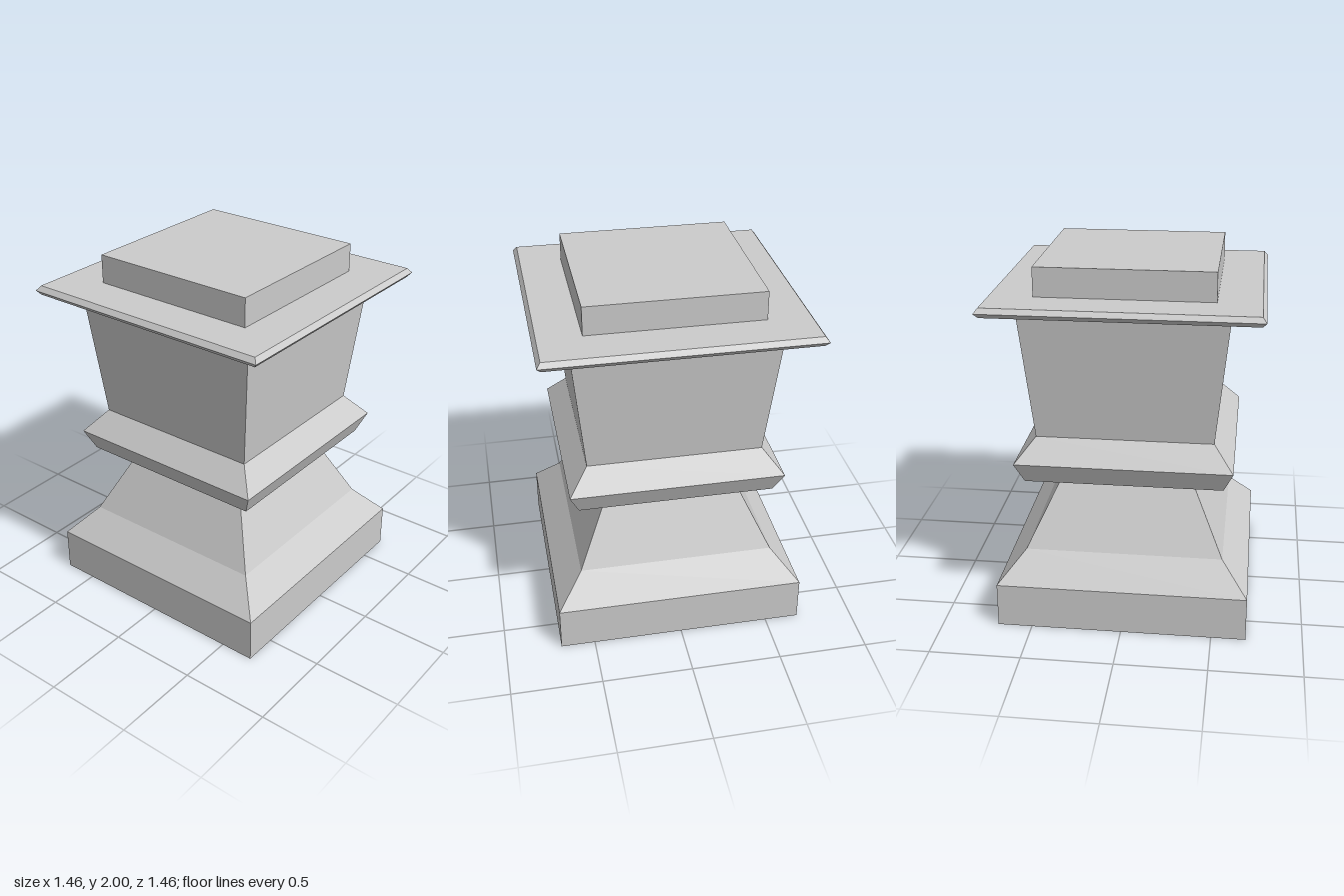
import * as THREE from 'three';

const material = new THREE.MeshStandardMaterial({ color: 0xcccccc, flatShading: true });

// Square section swept up a profile of [half width, height] points
function squareSection(name, profile) {
  const points = profile.map(([half, y]) => new THREE.Vector2(half * Math.SQRT2, y));
  const geometry = new THREE.LatheGeometry(points, 4, Math.PI / 4).toNonIndexed();
  geometry.computeVertexNormals();
  const mesh = new THREE.Mesh(geometry, material);
  mesh.name = name;
  return mesh;
}

export function createModel() {
  const group = new THREE.Group();
  group.name = 'pedestal';
  group.add(
    // Plinth with closed underside
    squareSection('plinth', [[0, 0], [0.69, 0], [0.69, 0.248]]),
    // Foot sloping in two steps to the narrow neck
    squareSection('foot', [[0.69, 0.248], [0.545, 0.41], [0.355, 0.803]]),
    // Flared collar above the neck
    squareSection('collar', [[0.355, 0.803], [0.54, 0.825], [0.59, 0.94], [0.482, 1.067]]),
    // Body widening upwards
    squareSection('body', [[0.482, 1.067], [0.555, 1.79]]),
    // Thin overhanging slab with bevelled rim
    squareSection('capSlab', [[0.555, 1.79], [0.707, 1.79], [0.728, 1.815], [0.707, 1.842], [0.475, 1.842]]),
    // Raised block on top
    squareSection('topBlock', [[0.475, 1.842], [0.475, 2], [0, 2]])
  );
  return group;
}
